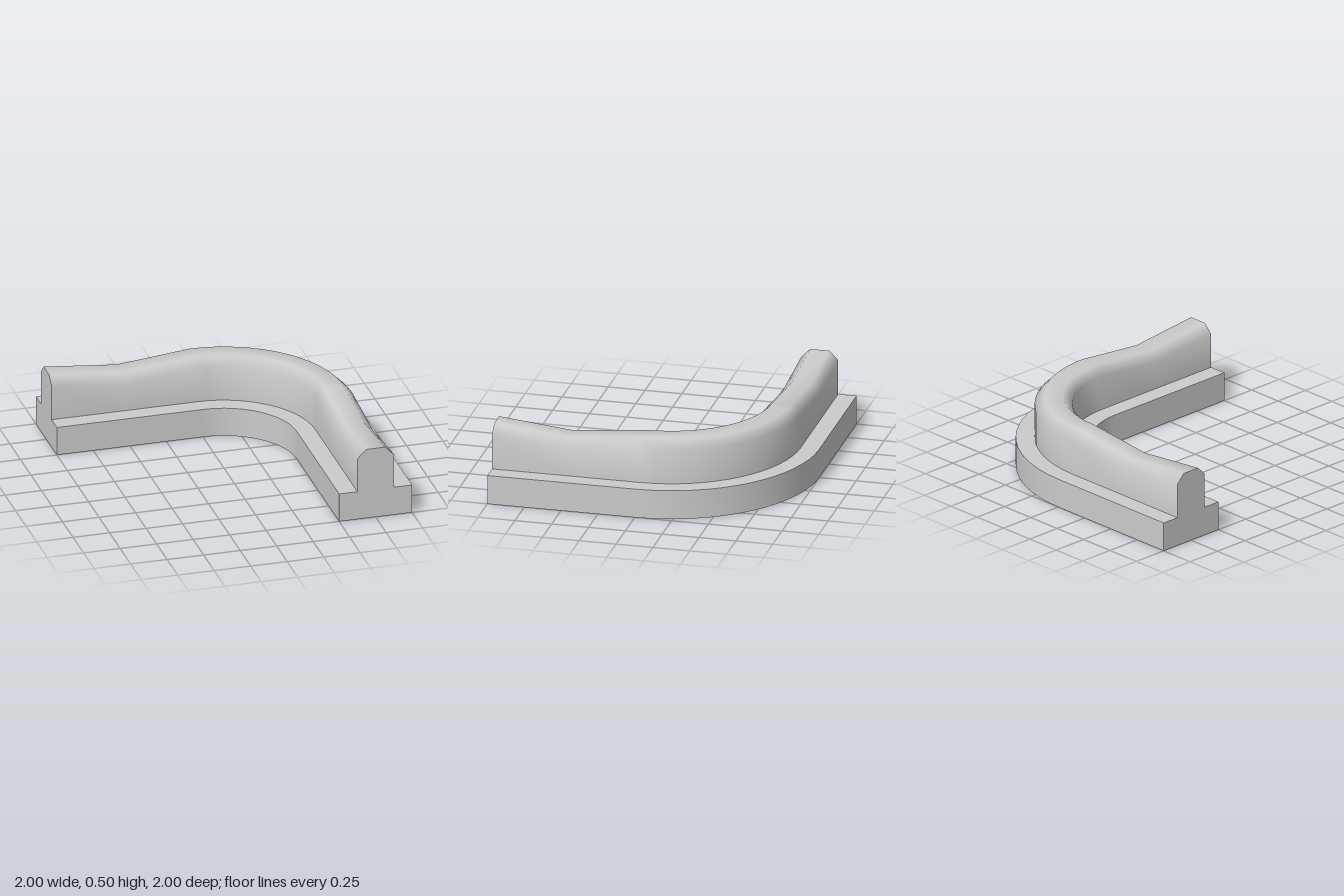
import * as THREE from 'three';

const R = 0.75, ARC = 16;

// Stations along the bend: position, outward direction and how far the crest dips
function makeStations() {
  const list = [];
  for (const x of [-1, -0.5]) list.push({ x, z: -R, nx: 0, nz: -1, dip: x === -0.5 ? 0.05 : 0 });
  for (let i = 0; i <= ARC; i++) {
    const a = (i / ARC) * Math.PI / 2, nx = Math.sin(a), nz = -Math.cos(a);
    list.push({ x: R * nx, z: R * nz, nx, nz, dip: 0 });
  }
  for (const z of [0.5, 1]) list.push({ x: R, z, nx: 1, nz: 0, dip: z === 0.5 ? 0.05 : 0 });
  return list;
}

// Place a section point [offset, height] at a station; only the crest follows the dip
function place(s, [o, y]) {
  return [s.x + s.nx * o, y > 0.2 ? y - s.dip : y, s.z + s.nz * o];
}

function toGeometry(pos, idx) {
  const g = new THREE.BufferGeometry();
  g.setAttribute('position', new THREE.Float32BufferAttribute(pos, 3));
  g.setIndex(idx);
  g.computeVertexNormals();
  return g;
}

// Sweep an open, counter-clockwise run of section points along the stations
function sweep(stations, run) {
  const pos = stations.flatMap(s => run.flatMap(p => place(s, p)));
  const idx = [], n = run.length;
  for (let i = 0; i < stations.length - 1; i++) {
    for (let j = 0; j < n - 1; j++) {
      const a = i * n + j, b = a + 1, c = b + n, d = a + n;
      idx.push(a, b, c, a, c, d);
    }
  }
  return toGeometry(pos, idx);
}

// Flat convex end face
function cap(station, section, flip) {
  const idx = [];
  for (let j = 1; j < section.length - 1; j++) idx.push(0, flip ? j + 1 : j, flip ? j : j + 1);
  return toGeometry(section.flatMap(p => place(station, p)), idx);
}

export function createModel() {
  const model = new THREE.Group();
  model.name = 'curvedWall';
  const material = new THREE.MeshStandardMaterial({ color: 0xcccccc });
  const stations = makeStations();

  const baseSection = [[0.25, 0], [0.25, 0.2], [-0.25, 0.2], [-0.25, 0]];
  const wallSection = [[0.125, 0.2], [0.125, 0.44], [0.065, 0.5], [-0.065, 0.5], [-0.125, 0.44], [-0.125, 0.2]];

  function addPart(name, section, runs) {
    const part = new THREE.Group();
    part.name = name;
    const add = (label, geometry) => {
      const mesh = new THREE.Mesh(geometry, material);
      mesh.name = label;
      part.add(mesh);
    };
    for (const [label, run] of Object.entries(runs)) add(label, sweep(stations, run));
    add('startFace', cap(stations[0], section, true));
    add('endFace', cap(stations[stations.length - 1], section, false));
    model.add(part);
  }

  // Wide plinth with sharp edges: each face is its own run
  addPart('plinth', baseSection, {
    outerSide: [[0.25, 0], [0.25, 0.2]],
    outerLedge: [[0.25, 0.2], [0.125, 0.2]],
    innerLedge: [[-0.125, 0.2], [-0.25, 0.2]],
    innerSide: [[-0.25, 0.2], [-0.25, 0]],
    underside: [[-0.25, 0], [0.25, 0]],
  });

  // Upright wall with a softly shaded, bevelled crest
  addPart('wall', wallSection, { wallSurface: wallSection });

  return model;
}
